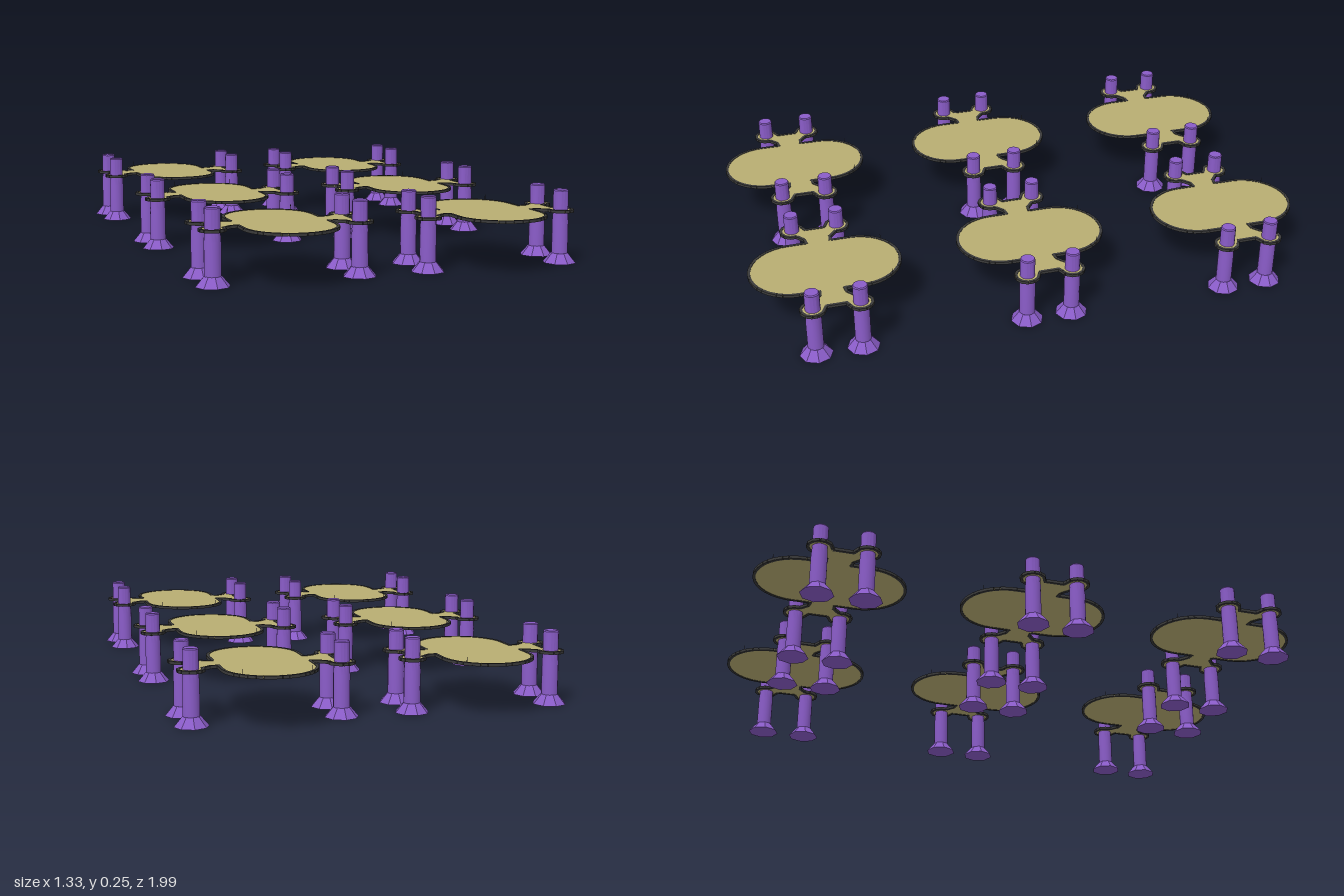
import * as THREE from 'three';
import { mergeGeometries, toCreasedNormals } from 'three/addons/utils/BufferGeometryUtils.js';

const tan = new THREE.MeshStandardMaterial({ color: 0xb8ad72 });
const purple = new THREE.MeshStandardMaterial({ color: 0x8a5cc8 });
const dark = new THREE.MeshStandardMaterial({ color: 0x3a3a3a });

const POST_X = 0.245, POST_Z = 0.08, PLATE_Y = 0.178;

// Points along an arc, angles in degrees
function arc(cx, cy, r, from, to, n) {
  return Array.from({ length: n + 1 }, (_, i) => {
    const a = THREE.MathUtils.degToRad(from + (to - from) * i / n);
    return new THREE.Vector2(cx + r * Math.cos(a), cy + r * Math.sin(a));
  });
}

// Closed outline: rounded body, a neck on each side, a round pad at each post
function plateOutline() {
  const quarter = [
    ...arc(0, 0.11, 0.15, 90, 0, 9),
    new THREE.Vector2(0.15, 0.042),
    new THREE.Vector2(0.176, 0.045),
    ...arc(POST_X, POST_Z, 0.04, 195, -80, 9),
    new THREE.Vector2(0.238, 0.034),
  ];
  const flip = (pts, sx, sy) => pts.map(p => new THREE.Vector2(p.x * sx, p.y * sy)).reverse();
  const half = [...quarter, ...flip(quarter, 1, -1).slice(0, -1)];
  return [...half, new THREE.Vector2(0, -0.26), ...flip(half.slice(1), -1, 1)];
}

// Thin flat sheet
function plateGeometry(outline) {
  const g = new THREE.ExtrudeGeometry(new THREE.Shape(outline), { depth: 0.007, bevelEnabled: false });
  return g.rotateX(-Math.PI / 2).translate(0, PLATE_Y - 0.0035, 0);
}

// Edging made of short strips, with a small gap after every third one
function rimGeometry(outline) {
  const strips = [];
  outline.forEach((a, i) => {
    const b = outline[(i + 1) % outline.length];
    const length = a.distanceTo(b);
    if (length < 0.001) return;
    const gap = i % 3 === 2 ? -0.006 : 0.004;
    const g = new THREE.BoxGeometry(Math.max(length + gap, 0.004), 0.01, 0.01);
    g.rotateY(Math.atan2(b.y - a.y, b.x - a.x));
    strips.push(g.translate((a.x + b.x) / 2, PLATE_Y, -(a.y + b.y) / 2));
  });
  return mergeGeometries(strips);
}

// Round column, slightly slimmer above the plate
function columnGeometry() {
  const profile = [[0, 0.02], [0.0275, 0.02], [0.0275, 0.14], [0.0258, 0.165],
    [0.0258, 0.246], [0.023, 0.25], [0, 0.25]].map(p => new THREE.Vector2(...p));
  return toCreasedNormals(new THREE.LatheGeometry(profile, 16), 0.6);
}

export function createModel() {
  const model = new THREE.Group();
  const outline = plateOutline();
  const plate = plateGeometry(outline);
  const rim = rimGeometry(outline);
  const column = columnGeometry();
  const foot = toCreasedNormals(new THREE.CylinderGeometry(0.029, 0.057, 0.033, 8), 0.3).translate(0, 0.0165, 0);
  const pin = new THREE.BoxGeometry(0.0015, 0.022, 0.0015).translate(0, PLATE_Y + 0.011, 0);

  const add = (parent, name, geometry, material, x = 0, z = 0) => {
    const mesh = new THREE.Mesh(geometry, material);
    mesh.name = name;
    mesh.position.set(x, 0, z);
    parent.add(mesh);
  };

  // Two columns of three identical platforms
  for (const x of [-0.365, 0.365]) for (const z of [-0.732, 0, 0.732]) {
    const platform = new THREE.Group();
    platform.name = 'platform';
    platform.position.set(x, 0, z);
    add(platform, 'plate', plate, tan);
    add(platform, 'rim', rim, dark);
    for (const sx of [-1, 1]) {
      add(platform, 'rimPin', pin, dark, sx * 0.11, -0.214);
      for (const sz of [-1, 1]) {
        const post = new THREE.Group();
        post.name = 'post';
        post.position.set(sx * POST_X, 0, sz * POST_Z);
        add(post, 'column', column, purple);
        add(post, 'foot', foot, purple);
        platform.add(post);
      }
    }
    model.add(platform);
  }
  return model;
}
